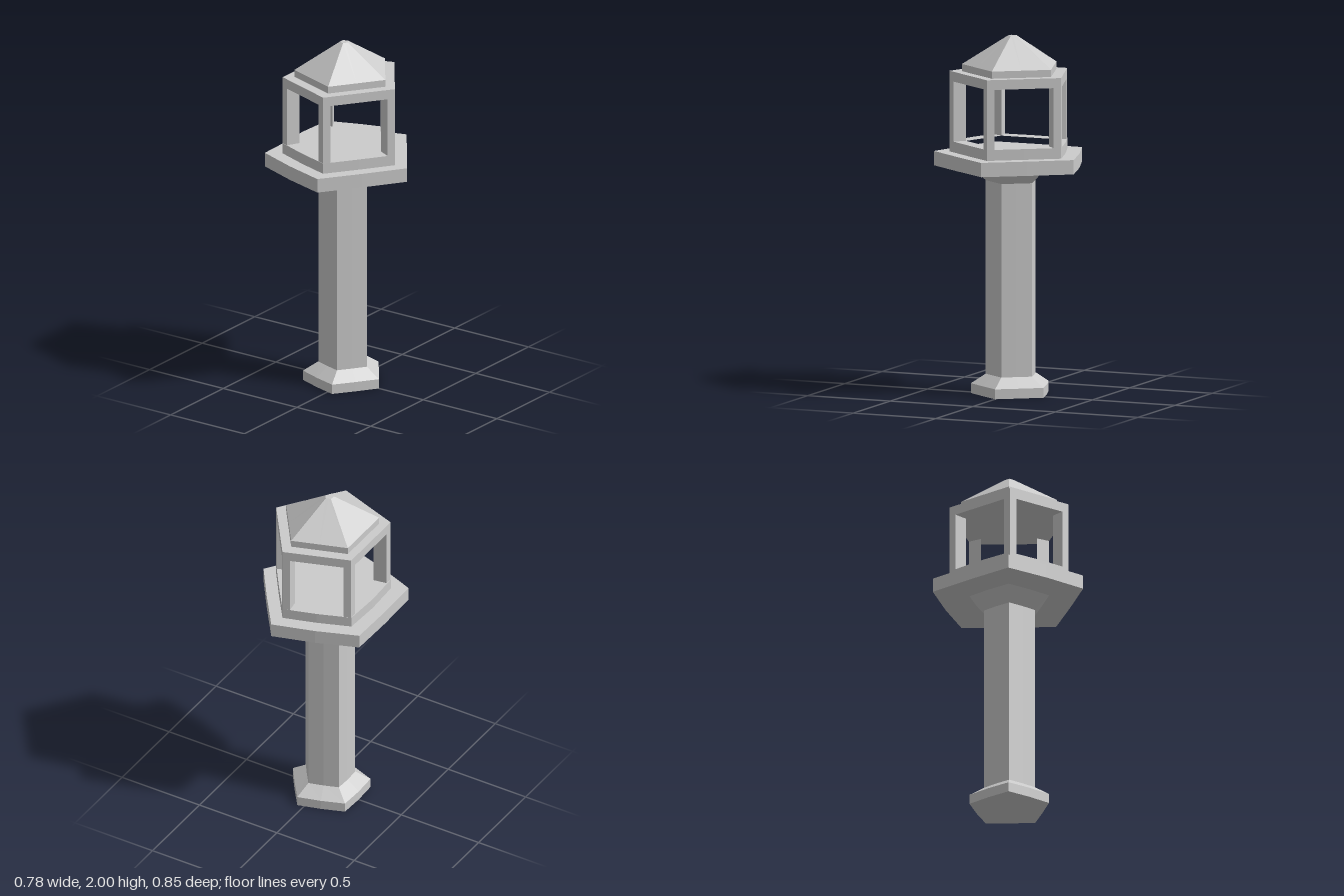
import * as THREE from 'three';

const material = new THREE.MeshStandardMaterial({ color: 0xcccccc, flatShading: true });

// Five-sided plan pointing to +x; each side may bow out slightly at its middle.
function plan(apex, [sx, sz], [bx, bz], bows = [0, 0, 0]) {
  const corners = [[apex, 0], [sx, sz], [bx, bz], [bx, -bz], [sx, -sz]];
  const bow = [bows[0], bows[1], bows[2], bows[1], bows[0]];
  const points = [];
  corners.forEach(([x, z], i) => {
    const [nx, nz] = corners[(i + 1) % 5];
    const length = Math.hypot(nx - x, nz - z);
    points.push([x, z], [
      (x + nx) / 2 + (nz - z) / length * bow[i],
      (z + nz) / 2 - (nx - x) / length * bow[i],
    ]);
  });
  return points;
}

// Stack of [height, plan] sections joined by flat faces and capped at both ends.
function loft(name, sections) {
  const position = [];
  const tri = (...points) => points.forEach((p) => position.push(...p));
  const rings = sections.map(([y, pts]) => pts.map(([x, z]) => [x, y, z]));
  for (let s = 0; s < rings.length - 1; s++) {
    const a = rings[s], b = rings[s + 1], n = a.length;
    for (let i = 0; i < n; i++) {
      const j = (i + 1) % n;
      tri(a[i], b[i], b[j]);
      tri(a[i], b[j], a[j]);
    }
  }
  const bottom = rings[0], top = rings[rings.length - 1];
  for (let i = 1; i < bottom.length - 1; i++) {
    tri(bottom[0], bottom[i], bottom[i + 1]);
    tri(top[0], top[i + 1], top[i]);
  }
  const geometry = new THREE.BufferGeometry();
  geometry.setAttribute('position', new THREE.Float32BufferAttribute(position, 3));
  geometry.computeVertexNormals();
  const mesh = new THREE.Mesh(geometry, material);
  mesh.name = name;
  return mesh;
}

// Upright wall ring with a hole through it.
function wallRing(name, outer, inner, y, height) {
  const flat = (pts) => pts.map(([x, z]) => new THREE.Vector2(x, -z));
  const shape = new THREE.Shape(flat(outer));
  shape.holes.push(new THREE.Path(flat(inner)));
  const geometry = new THREE.ExtrudeGeometry(shape, { depth: height, bevelEnabled: false });
  geometry.rotateX(-Math.PI / 2).translate(0, y, 0);
  const mesh = new THREE.Mesh(geometry, material);
  mesh.name = name;
  return mesh;
}

export function createModel() {
  const model = new THREE.Group();
  model.name = 'lanternTower';

  // Foot, shaft and flared capital
  const wide = plan(0.2, [0.038, 0.22], [-0.219, 0.136], [0.002, 0.005, 0.006]);
  const narrow = plan(0.117, [0.015, 0.14], [-0.15, 0.087], [0.001, 0.003, 0.004]);
  model.add(loft('foot', [[0, wide], [0.055, wide], [0.11, narrow]]));
  model.add(loft('shaft', [[0.11, narrow], [1.19, narrow]]));
  model.add(loft('capital', [[1.19, narrow], [1.265, wide]]));

  // Overhanging platform
  const deck = plan(0.39, [0.083, 0.423], [-0.388, 0.262], [0.003, 0.009, 0.005]);
  model.add(loft('platform', [[1.265, deck], [1.345, deck]]));

  // Low wall around the lantern room
  const room = plan(0.308, [0.062, 0.338], [-0.304, 0.21]);
  const bowed = plan(0.308, [0.062, 0.338], [-0.306, 0.21], [0.002, 0.006, 0.01]);
  const inside = plan(0.215, [0.033, 0.25], [-0.228, 0.155]);
  model.add(wallRing('lowWall', bowed, inside, 1.345, 0.06));

  // Corner posts, tapering inwards between the openings
  const posts = new THREE.Group();
  posts.name = 'cornerPosts';
  const toward = ([x, z], [tx, tz], d) => {
    const length = Math.hypot(tx - x, tz - z);
    return [x + (tx - x) / length * d, z + (tz - z) / length * d];
  };
  for (let i = 0; i < 10; i += 2) {
    const corner = room[i];
    const post = [corner, toward(corner, room[(i + 1) % 10], 0.042),
      inside[i], toward(corner, room[(i + 9) % 10], 0.042)];
    posts.add(loft('cornerPost', [[1.405, post], [1.74, post]]));
  }
  model.add(posts);

  // Ceiling slab and stepped roof with a small flat tip
  model.add(loft('ceiling', [[1.74, room], [1.795, room]]));
  const eaves = plan(0.243, [0.047, 0.27], [-0.256, 0.167]);
  const tip = plan(-0.011, [-0.027, 0.024], [-0.055, 0.015]);
  model.add(loft('roof', [[1.795, eaves], [1.835, eaves], [2, tip]]));

  return model;
}
